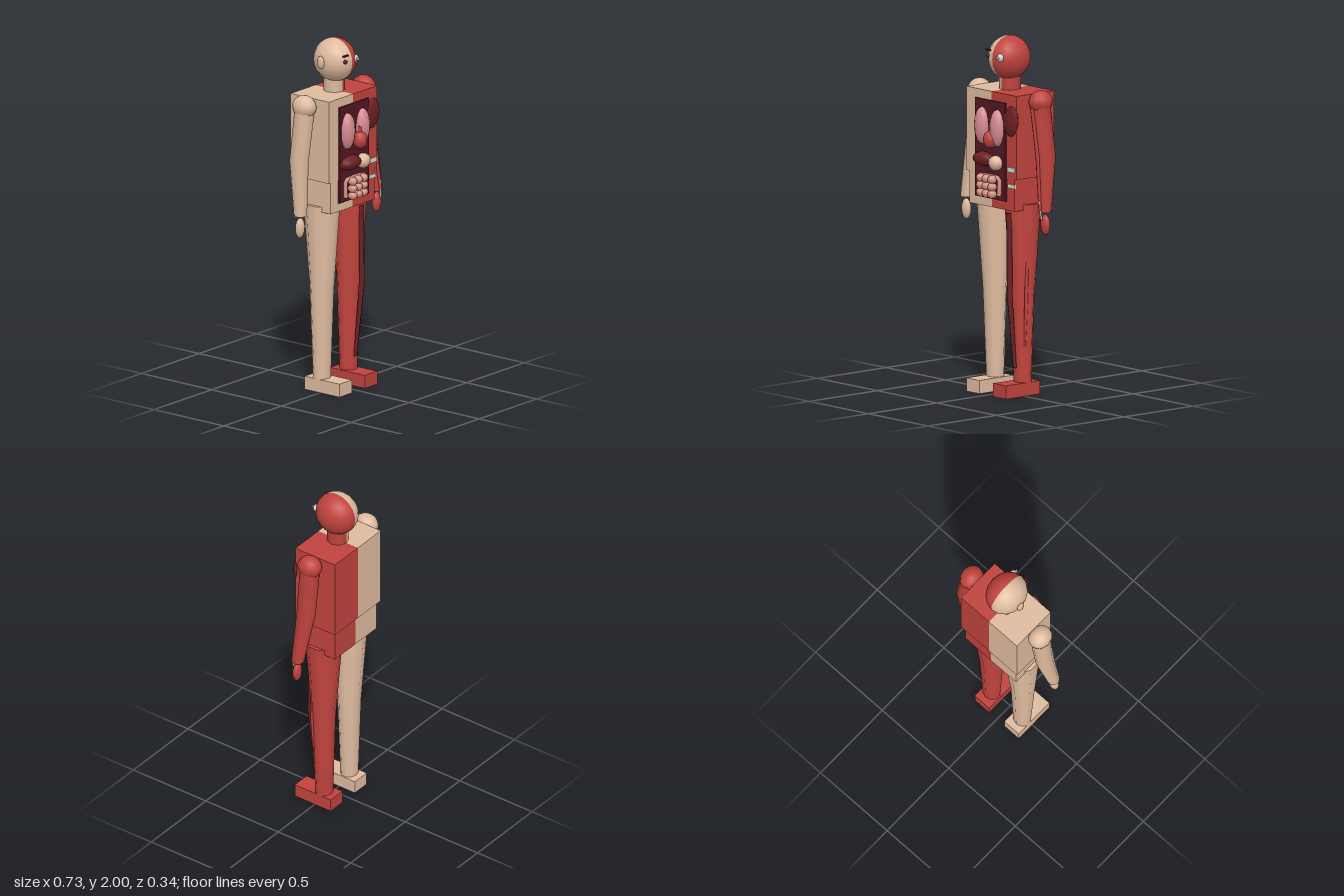
import * as THREE from 'three';

const paint = (name, color) => {
  const m = new THREE.MeshStandardMaterial({ color });
  m.name = name;
  return m;
};

export function createModel() {
  const group = new THREE.Group();
  group.name = 'anatomyFigure';
  const skin = paint('skin', 0xdfbb9f);
  const muscle = paint('muscle', 0xc0433d);
  const deep = paint('deepMuscle', 0x6c2024);
  const cavity = paint('cavity', 0x521720);
  const lung = paint('lung', 0xd98a94);
  const bowel = paint('bowel', 0xd99484);
  const bone = paint('bone', 0xdcd8ca);

  const add = (name, geometry, material, x = 0, y = 0, z = 0) => {
    const mesh = new THREE.Mesh(geometry, material);
    mesh.name = name;
    mesh.position.set(x, y, z);
    group.add(mesh);
    return mesh;
  };
  const box = (name, mat, x0, x1, y0, y1, z0, z1) =>
    add(name, new THREE.BoxGeometry(x1 - x0, y1 - y0, z1 - z0), mat,
      (x0 + x1) / 2, (y0 + y1) / 2, (z0 + z1) / 2);
  const blob = (name, mat, x, y, z, rx, ry, rz, w = 10, h = 8) => {
    const mesh = add(name, new THREE.SphereGeometry(1, w, h), mat, x, y, z);
    mesh.scale.set(rx, ry, rz);
    return mesh;
  };
  // Tapered limb through stations [x, y, z, rx, rz], listed from top to bottom
  const limb = (name, mat, stations, sides = 10) => {
    const rows = stations.length - 1;
    const g = new THREE.CylinderGeometry(1, 1, 1, sides, rows);
    const p = g.attributes.position;
    for (let i = 0; i < p.count; i++) {
      const [x, y, z, rx, rz] = stations[Math.round((0.5 - p.getY(i)) * rows)];
      p.setXYZ(i, x + p.getX(i) * rx, y, z + p.getZ(i) * rz);
    }
    return add(name, g, mat);
  };

  // Both halves: skin on the right (-x), muscle on the left (+x)
  for (const s of [-1, 1]) {
    const mat = s < 0 ? skin : muscle;
    const side = s < 0 ? 'right' : 'left';
    const span = (a, b) => (s < 0 ? [-b, -a] : [a, b]);

    const head = add(side + 'HeadHalf',
      new THREE.SphereGeometry(1, 8, 12, s < 0 ? -Math.PI / 2 : Math.PI / 2, Math.PI),
      mat, 0, 1.877, -0.03);
    head.scale.set(0.11, 0.123, 0.125);
    add(side + 'NeckHalf',
      new THREE.CylinderGeometry(0.06, 0.06, 0.12, 4, 1, true, s < 0 ? Math.PI : 0, Math.PI),
      mat, 0, 1.75, -0.035);
    box(side + 'Chest', mat, ...span(0, 0.21), 1.23, 1.7, -0.173, 0.1);
    box(side + 'Pelvis', mat, ...span(0, 0.19), 1.05, 1.23, -0.158, 0.096);

    blob(side + 'Shoulder', mat, s * 0.258, 1.66, -0.036, 0.062, 0.065, 0.072, 12, 8);
    limb(side + 'Arm', mat, [
      [s * 0.255, 1.65, -0.035, 0.056, 0.056],
      [s * 0.298, 1.36, -0.04, 0.052, 0.054],
      [s * 0.328, 1.055, -0.006, 0.037, 0.036],
    ]);
    blob(side + 'Hand', mat, s * 0.332, 0.985, -0.005, 0.032, 0.058, 0.023);

    limb(side + 'Leg', mat, [
      [s * 0.117, 1.08, -0.027, 0.098, 0.104],
      [s * 0.117, 0.57, -0.026, 0.073, 0.062],
      [s * 0.115, 0.07, -0.028, 0.052, 0.048],
    ]);
    box(side + 'Foot', mat, ...span(0.057, 0.165), 0, 0.075, -0.11, 0.138);
  }

  // Face
  blob('ear', skin, -0.113, 1.88, -0.038, 0.013, 0.038, 0.026, 8, 6);
  blob('skinEye', cavity, -0.046, 1.89, 0.083, 0.012, 0.012, 0.012, 8, 6);
  box('eyebrow', cavity, -0.065, -0.027, 1.921, 1.929, 0.08, 0.092);
  blob('eyeball', bone, 0.047, 1.89, 0.076, 0.021, 0.023, 0.02, 8, 6);
  blob('iris', lung, 0.046, 1.89, 0.096, 0.01, 0.01, 0.01, 8, 6);

  // Exposed muscle bands and tendons on the left half
  const pec = blob('chestMuscle', deep, 0.166, 1.553, 0.1, 0.06, 0.086, 0.02);
  pec.rotation.z = -0.1;
  limb('armMuscleBand', muscle, [
    [0.25, 1.63, 0.018, 0.014, 0.013],
    [0.29, 1.36, 0.014, 0.014, 0.012],
    [0.326, 1.07, 0.028, 0.011, 0.009],
  ], 6);
  limb('wristTendon', bone, [
    [0.32, 1.12, 0.032, 0.006, 0.006],
    [0.332, 1.015, 0.022, 0.006, 0.006],
  ], 6);
  limb('thighAndShinBand', deep, [
    [0.113, 1.03, 0.068, 0.017, 0.013],
    [0.115, 0.57, 0.067, 0.016, 0.018],
    [0.111, 0.155, 0.026, 0.012, 0.008],
  ], 6);
  limb('outerLegBand', muscle, [
    [0.187, 0.92, -0.004, 0.008, 0.006],
    [0.182, 0.57, 0.004, 0.01, 0.012],
    [0.165, 0.28, 0, 0.006, 0.005],
  ], 6);
  box('upperTendon', bone, 0.138, 0.2, 1.268, 1.295, 0.096, 0.106);
  box('lowerTendon', bone, 0.138, 0.196, 1.178, 1.2, 0.092, 0.103);

  // Open body cavity and organs
  box('cavityPanel', cavity, -0.127, 0.127, 1.1, 1.65, 0.095, 0.11);
  for (const s of [-1, 1]) {
    blob(s < 0 ? 'rightLung' : 'leftLung', lung, s * 0.064, 1.503, 0.112, 0.051, 0.105, 0.042);
  }
  blob('heart', muscle, 0.025, 1.437, 0.13, 0.041, 0.05, 0.042);
  add('aorta', new THREE.CylinderGeometry(0.011, 0.011, 0.05, 8), muscle, 0.022, 1.49, 0.13);
  blob('liver', deep, -0.044, 1.318, 0.115, 0.084, 0.041, 0.044);
  blob('stomach', skin, 0.061, 1.308, 0.122, 0.046, 0.042, 0.04);

  // Large bowel arch framing the coils of the small bowel
  const arch = new THREE.CatmullRomCurve3([
    [-0.082, 1.125], [-0.082, 1.22], [0, 1.228], [0.082, 1.22], [0.082, 1.125],
  ].map(([x, y]) => new THREE.Vector3(x, y, 0.116)), false, 'catmullrom', 0.2);
  add('largeBowel', new THREE.TubeGeometry(arch, 24, 0.013, 6), bowel);
  for (let row = 0; row < 3; row++) {
    for (let col = -1; col <= 1; col++) {
      blob('smallBowelCoil', bowel, col * 0.047, 1.215 - row * 0.041, 0.136,
        0.027, 0.025, 0.027, 8, 6);
    }
  }
  return group;
}
